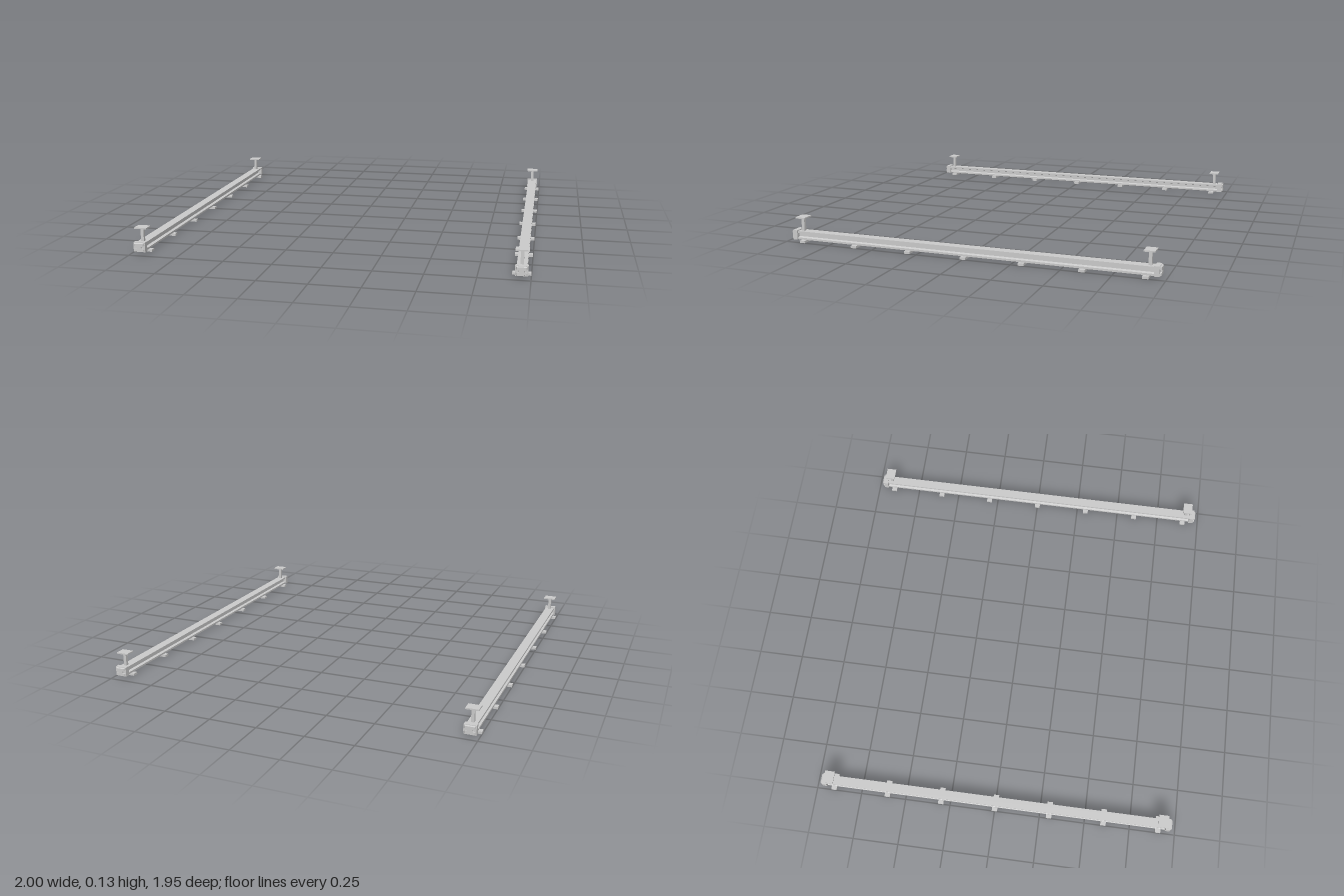
import * as THREE from 'three';

const material = new THREE.MeshStandardMaterial({ color: 0xcccccc, flatShading: true });

function addMesh(parent, name, geometry, x = 0, y = 0, z = 0) {
  const mesh = new THREE.Mesh(geometry, material);
  mesh.name = name;
  mesh.position.set(x, y, z);
  parent.add(mesh);
  return mesh;
}

// I-shaped section centred on the origin; the flanges slope towards the web
function beamShape(w, h, web, lip, root) {
  const a = w / 2, b = h / 2, c = web / 2;
  const right = [[a, -b], [a, -b + lip], [c, -b + root], [c, b - root], [a, b - lip], [a, b]];
  const left = right.map(([x, y]) => [-x, y]).reverse();
  return new THREE.Shape([...right, ...left].map(([x, y]) => new THREE.Vector2(x, y)));
}

// Extrusion along z, starting at z = 0
function extrude(shape, depth) {
  return new THREE.ExtrudeGeometry(shape, { depth, bevelEnabled: false });
}

// End stop: collar around the rail with a tapered I-shaped nose, pointing to +z
function createEndStop() {
  const stop = new THREE.Group();
  stop.name = 'endStop';
  addMesh(stop, 'collar', new THREE.BoxGeometry(0.062, 0.05, 0.026), 0, 0.036, 0.956);

  const nose = extrude(beamShape(0.058, 0.046, 0.03, 0.014, 0.018), 0.01);
  const p = nose.attributes.position;
  for (let i = 0; i < p.count; i++) {
    if (p.getZ(i) > 0.005) p.setXY(i, p.getX(i) * 0.78, p.getY(i) * 0.84);
  }
  nose.computeVertexNormals();
  addMesh(stop, 'nose', nose, 0, 0.036, 0.967);
  return stop;
}

// Upright post with a square plate on top
function createSupport() {
  const support = new THREE.Group();
  support.name = 'support';
  addMesh(support, 'post', new THREE.BoxGeometry(0.016, 0.074, 0.016), 0, 0.09, 0.92);
  addMesh(support, 'topPlate', new THREE.BoxGeometry(0.066, 0.007, 0.054), 0, 0.1285, 0.92);
  return support;
}

function createRail() {
  const rail = new THREE.Group();
  rail.name = 'railAssembly';
  addMesh(rail, 'rail', extrude(beamShape(0.05, 0.044, 0.02, 0.01, 0.014), 1.9), 0, 0.034, -0.95);

  // Base plates at even spacing
  for (let i = -3; i <= 3; i++) {
    addMesh(rail, 'basePlate', new THREE.BoxGeometry(0.09, 0.012, 0.03), 0, 0.006, i * 0.302);
  }

  // Matching stop and support at both ends
  for (const turn of [0, Math.PI]) {
    const end = new THREE.Group();
    end.name = turn ? 'backEnd' : 'frontEnd';
    end.add(createEndStop(), createSupport());
    end.rotation.y = turn;
    rail.add(end);
  }
  return rail;
}

export function createModel() {
  const model = new THREE.Group();
  model.name = 'railPair';
  for (const side of [-1, 1]) {
    const rail = createRail();
    rail.name = side > 0 ? 'leftRail' : 'rightRail';
    rail.position.x = side * 0.955;
    model.add(rail);
  }
  return model;
}
